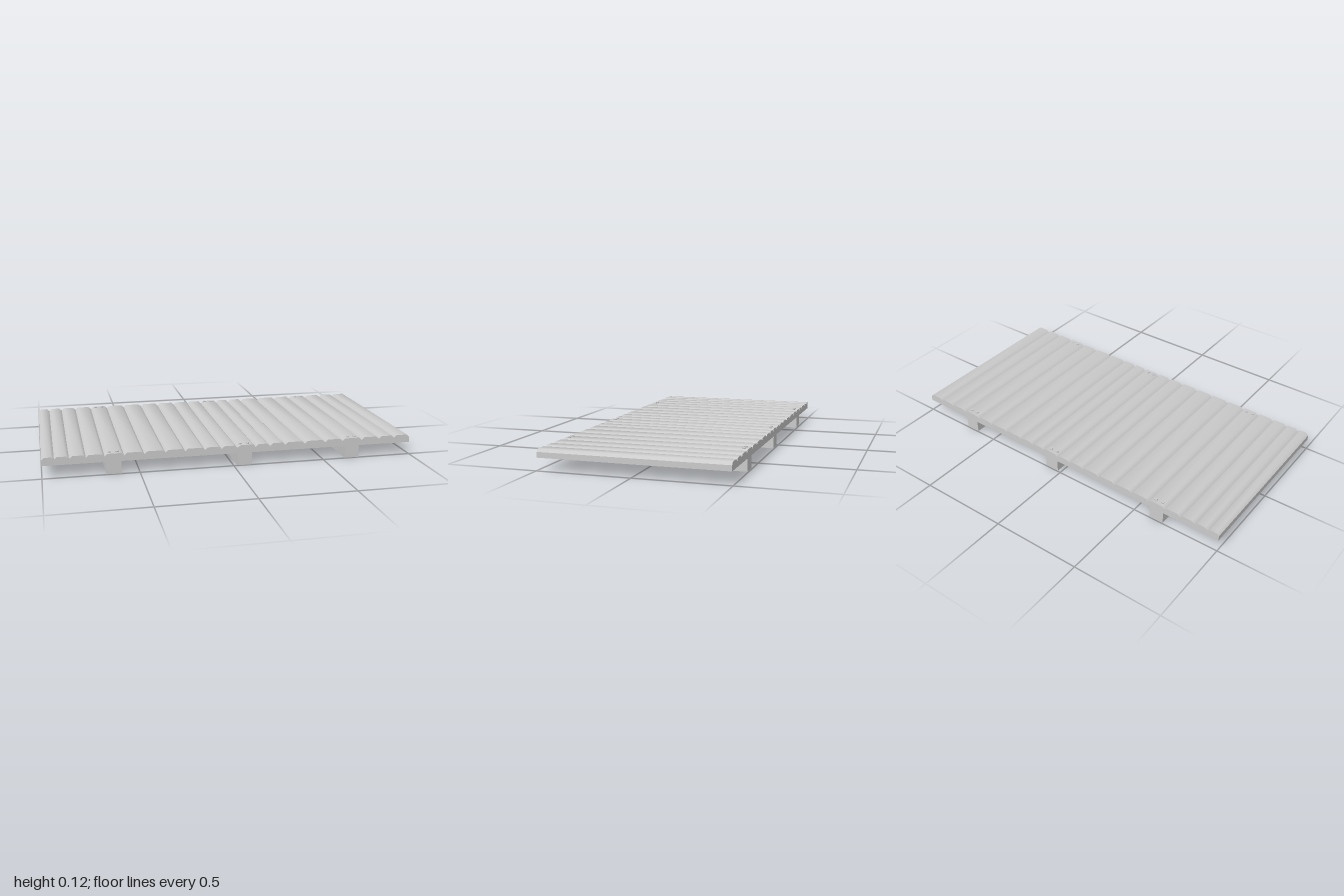
import * as THREE from 'three';
import { toCreasedNormals } from 'three/addons/utils/BufferGeometryUtils.js';

const LENGTH = 0.99, BASE = 0.067, TOP = 0.11;
const GROOVES = [-0.935, -0.86, -0.775, -0.68, -0.58, -0.475, -0.365, -0.26, -0.155, -0.065,
  0.02, 0.12, 0.2, 0.285, 0.395, 0.51, 0.61, 0.72, 0.82, 0.91];
const BEAMS = [-0.635, 0.06, 0.665];

export function createModel() {
  const group = new THREE.Group();
  const material = new THREE.MeshStandardMaterial({ color: 0xcccccc });
  const add = (name, geometry, x, y, z) => {
    const mesh = new THREE.Mesh(geometry, material);
    mesh.name = name;
    mesh.position.set(x, y, z);
    group.add(mesh);
  };

  // Planks with chamfered long edges, meeting in V grooves
  const edges = [-1, ...GROOVES, 1];
  const bevel = 0.015, low = 0.096;
  for (let i = 0; i < edges.length - 1; i++) {
    const half = (edges[i + 1] - edges[i]) / 2;
    const profile = new THREE.Shape([
      new THREE.Vector2(-half, BASE), new THREE.Vector2(half, BASE),
      new THREE.Vector2(half, low), new THREE.Vector2(half - bevel, TOP),
      new THREE.Vector2(-half + bevel, TOP), new THREE.Vector2(-half, low),
    ]);
    const plank = new THREE.ExtrudeGeometry(profile, { depth: LENGTH, bevelEnabled: false });
    add('plank' + (i + 1), toCreasedNormals(plank, 0.8), edges[i] + half, 0, -LENGTH / 2);
  }

  // Support beams, each with a pair of nails at both ends
  const beam = new THREE.BoxGeometry(0.08, BASE, LENGTH);
  const nail = new THREE.CylinderGeometry(0.008, 0.008, 0.012, 12);
  for (const x of BEAMS) {
    add('supportBeam', beam, x, BASE / 2, 0);
    for (const z of [-0.47, 0.47])
      for (const dx of [-0.02, 0.02]) add('nailHead', nail, x + dx, TOP, z);
  }
  return group;
}
